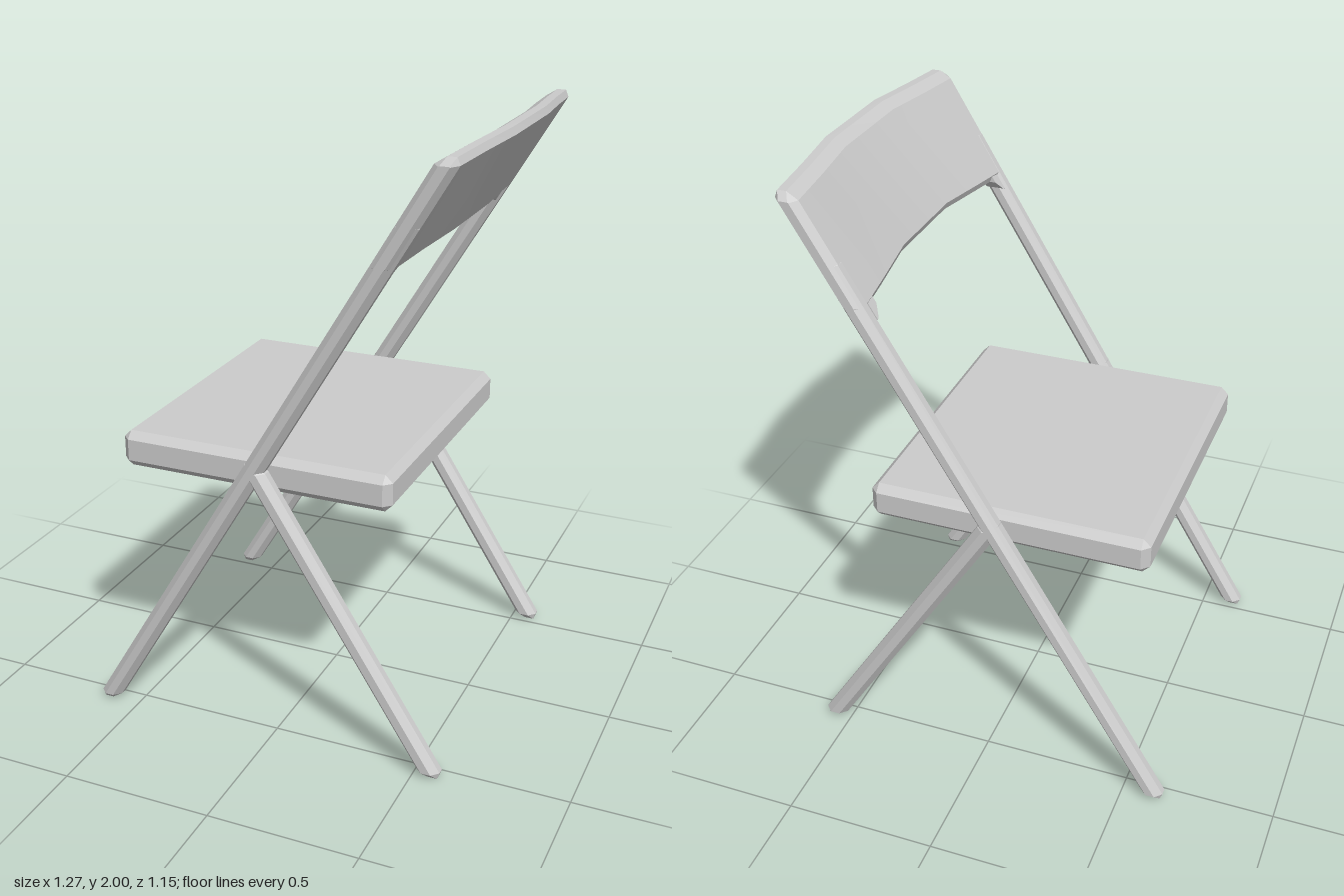
import * as THREE from 'three';
import { ConvexGeometry } from 'three/addons/geometries/ConvexGeometry.js';
import { toCreasedNormals } from 'three/addons/utils/BufferGeometryUtils.js';

const SLOPE = 0.598;                       // lean of the long side bars
const barX = (y) => -0.5975 + (y - 0.03) * SLOPE;
const HALF = 0.0375, BEVEL = 0.023;        // bar half width and bevel

// Box with every edge bevelled; corners are passed through an affine map
function bevelledBox(min, max, c, map = (p) => p) {
  const pts = [];
  for (const sx of [0, 1]) for (const sy of [0, 1]) for (const sz of [0, 1])
    for (let full = 0; full < 3; full++) {
      const p = [sx, sy, sz].map((s, i) => {
        const inset = i === full ? 0 : c;
        return s ? max[i] - inset : min[i] + inset;
      });
      pts.push(map(new THREE.Vector3(...p)));
    }
  return new ConvexGeometry(pts);
}

// Curved back panel lofted across z from bevelled, leaning sections
function backrestGeometry() {
  const stations = [                       // z, x offset, bottom y, top y, inset
    [0.575, 0, 1.63, 1.985, BEVEL], [0.55, 0, 1.63, 1.985, 0],
    [0.37, 0.012, 1.643, 1.992, 0], [0.17, 0.03, 1.656, 2, 0],
  ];
  const all = [...stations, ...stations.slice().reverse().map(([z, ...r]) => [-z, ...r])];
  const pos = [], idx = [], n = 8;
  for (const [z, off, y0, y1, i] of all) {
    const h = HALF - i * 0.9, c = i ? 0.002 : BEVEL, a = y0 + i, b = y1 - i;
    const ring = [[a, -h + c], [a, h - c], [a + c, h], [b - c, h],
      [b, h - c], [b, -h + c], [b - c, -h], [a + c, -h]];
    for (const [y, w] of ring) pos.push(barX(y) + w + off, y, z);
  }
  for (let s = 0; s < all.length - 1; s++)
    for (let k = 0; k < n; k++) {
      const a = s * n + k, b = s * n + (k + 1) % n;
      idx.push(a, a + n, b, b, a + n, b + n);
    }
  const last = (all.length - 1) * n;
  for (let k = 1; k < n - 1; k++) {
    idx.push(0, k, k + 1, last, last + k + 1, last + k);
  }
  const g = new THREE.BufferGeometry();
  g.setAttribute('position', new THREE.Float32BufferAttribute(pos, 3));
  g.setIndex(idx);
  return toCreasedNormals(g, 0.4);
}

export function createModel() {
  const group = new THREE.Group();
  const material = new THREE.MeshStandardMaterial({ color: 0xcccccc });
  const add = (name, geometry) => {
    const mesh = new THREE.Mesh(geometry, material);
    mesh.name = name;
    group.add(mesh);
  };

  add('seat', bevelledBox([-0.54, 0.863, -0.503], [0.39, 0.985, 0.503], 0.025));
  add('backrest', backrestGeometry());

  for (const side of [1, -1]) {
    const z0 = Math.min(side * 0.505, side * 0.575), z1 = z0 + 0.07;
    // Long leaning bar, from the floor up into the backrest
    add('sideBar', bevelledBox([-HALF, 0, z0], [HALF, 1.8, z1], BEVEL,
      (p) => p.setX(p.x + barX(p.y))));
    // Short rear leg, branching off the bar at seat height
    add('rearLeg', bevelledBox([-0.039, 0, z0], [0.039, 0.975, z1], BEVEL,
      (p) => p.setX(p.x + 0.546 - (p.y - 0.03) * 0.636)));
    // Small gusset where the bar meets the panel
    const gusset = [];
    for (const [z, y] of [[0.515, 1.6], [0.515, 1.67], [0.478, 1.67], [0.478, 1.635], [0.505, 1.605]])
      for (const w of [-0.03, 0.03])
        gusset.push(new THREE.Vector3(barX(y) + w, y, side * z));
    add('gusset', new ConvexGeometry(gusset));
  }
  return group;
}
